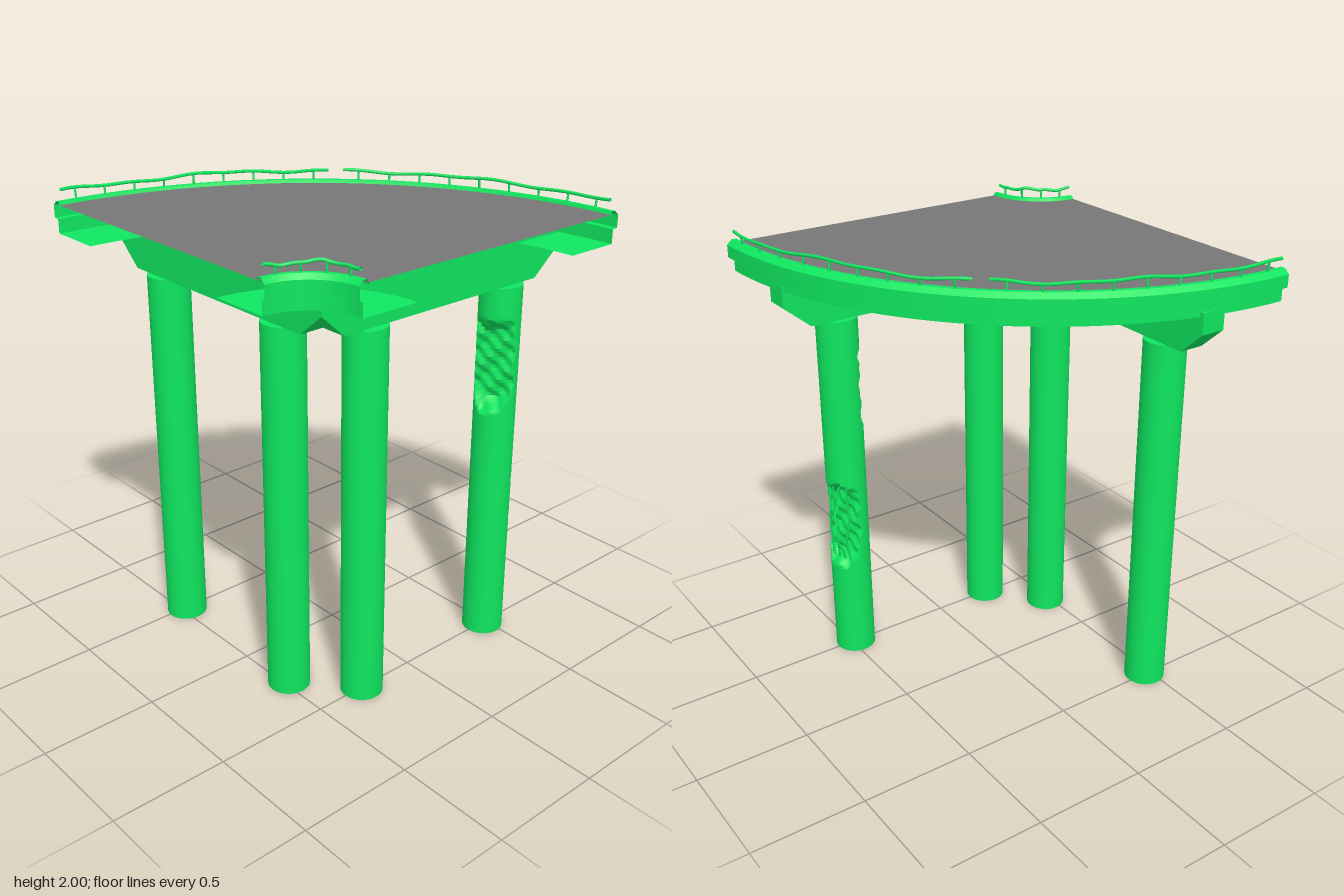
import * as THREE from 'three';
import { mergeGeometries, toCreasedNormals } from 'three/addons/utils/BufferGeometryUtils.js';

const C = 0.805; // centre of the bend, in x and z
const COLUMN_R = 0.09;
const CAP_BOTTOM = 1.64;

export function createModel() {
  const model = new THREE.Group();
  const green = new THREE.MeshStandardMaterial({ color: 0x0fe65f, side: THREE.DoubleSide });
  const grey = new THREE.MeshStandardMaterial({ color: 0x777777, side: THREE.DoubleSide });

  const add = (name, geometry, material = green) => {
    const mesh = new THREE.Mesh(geometry, material);
    mesh.name = name;
    model.add(mesh);
    return mesh;
  };

  // Point on the bend: a = 0 at the front end, PI / 2 at the right end
  const polar = (r, a, y) => new THREE.Vector3(C - r * Math.cos(a), y, C - r * Math.sin(a));

  // Sweep a (radius, height) profile through the quarter bend
  const sweep = (profile, segments) => {
    const pts = profile.map(([r, y]) => new THREE.Vector2(r, y));
    const g = new THREE.LatheGeometry(pts, segments, Math.PI, Math.PI / 2);
    g.translate(C, 0, C);
    return toCreasedNormals(g, 0.4);
  };

  // Road deck and the two open edge girders with kerbs
  add('roadSurface', sweep([[0.255, 1.932], [1.575, 1.932]], 40), grey);
  add('outerGirder', sweep([
    [1.34, 1.81], [1.585, 1.81], [1.585, 1.87], [1.61, 1.872], [1.61, 1.925],
    [1.588, 1.945], [1.567, 1.945], [1.56, 1.925],
  ], 40));
  add('innerGirder', sweep([
    [0.5, 1.81], [0.24, 1.81], [0.24, 1.87], [0.225, 1.872], [0.225, 1.925],
    [0.24, 1.945], [0.258, 1.945], [0.267, 1.925],
  ], 20));

  // Bent railings: a wavering tube on thin posts
  const railing = (name, r, a0, a1, posts, wave, seed) => {
    const railPoint = (a) => polar(
      r + 0.007 * Math.sin(a * wave * 0.8 + seed),
      a,
      1.982 + 0.005 * Math.sin(a * wave + seed) + 0.003 * Math.sin(a * wave * 2.3),
    );
    const pts = [];
    const n = posts * 3;
    for (let i = 0; i <= n; i++) pts.push(railPoint(a0 + (a1 - a0) * i / n));
    const parts = [new THREE.TubeGeometry(new THREE.CatmullRomCurve3(pts), n * 2, 0.007, 6)];
    for (let i = 0; i < posts; i++) {
      const a = a0 + (a1 - a0) * (i + 0.5) / posts;
      const top = railPoint(a);
      const foot = polar(r, a, 1.938);
      parts.push(new THREE.TubeGeometry(new THREE.LineCurve3(foot, top), 1, 0.005, 6));
    }
    add(name, mergeGeometries(parts));
  };
  railing('outerRailFront', 1.582, 0.015, 0.757, 9, 16, 1);
  railing('outerRailBack', 1.582, 0.797, 1.555, 9, 14, 4);
  railing('innerRail', 0.246, 0.06, 1.51, 4, 7, 2);

  // Cap beams with chamfered ends, extruded across their width
  const beamShape = (from, to) => new THREE.Shape([
    [from, 1.83], [from, 1.74], [from + 0.11, CAP_BOTTOM],
    [to - 0.12, CAP_BOTTOM], [to, 1.74], [to, 1.83],
  ].map(([u, y]) => new THREE.Vector2(u, y)));
  const beam = (from, to) =>
    new THREE.ExtrudeGeometry(beamShape(from, to), { depth: 0.11, bevelEnabled: false });
  add('frontCapBeam', beam(-0.75, 0.55).translate(0, 0, 0.42));
  add('sideCapBeam', beam(-0.53, 0.745).rotateY(Math.PI / 2).translate(0.44, 0, 0));

  // Sound columns
  for (const [x, z] of [[-0.49, 0.475], [0.265, 0.475], [0.5, 0.27]]) {
    const g = new THREE.CylinderGeometry(COLUMN_R, COLUMN_R, CAP_BOTTOM, 32);
    add('column', g.translate(x, CAP_BOTTOM / 2, z));
  }

  // Damaged column: two ragged hollows broken out of its side
  const hollows = [
    { angle: 1.2, y: 1.3, half: 0.21, depth: 0.06 },
    { angle: -1.98, y: 0.67, half: 0.21, depth: 0.062 },
  ];
  const shaft = new THREE.CylinderGeometry(COLUMN_R, COLUMN_R, CAP_BOTTOM, 48, 120);
  shaft.translate(0, CAP_BOTTOM / 2, 0);
  const pos = shaft.attributes.position;
  for (let i = 0; i < pos.count; i++) {
    const x = pos.getX(i), y = pos.getY(i), z = pos.getZ(i);
    for (const h of hollows) {
      const dx = Math.cos(h.angle), dz = Math.sin(h.angle);
      const side = -x * dz + z * dx;
      const t = Math.abs(y - h.y + 0.25 * side * Math.sin(side * 60)) / h.half;
      if (t >= 1) continue;
      const rough = 0.008 * Math.sin(y * 43 + side * 50) + 0.005 * Math.sin(y * 97 - side * 70);
      const limit = COLUMN_R - h.depth * Math.min(1, (1 - t) * 3.5) + rough;
      const over = x * dx + z * dz - limit;
      if (over > 0) pos.setXYZ(i, x - dx * over, y, z - dz * over);
    }
  }
  add('damagedColumn', toCreasedNormals(shaft, 0.6).translate(0.5, 0, -0.48));

  // Bent reinforcing bars left standing in the lower hollow
  const { angle } = hollows[1];
  const out = new THREE.Vector3(Math.cos(angle), 0, Math.sin(angle));
  const across = new THREE.Vector3(-out.z, 0, out.x);
  const bar = (side, stations) => {
    const pts = stations.map(([y, reach, sway]) => new THREE.Vector3(0.5, y, -0.48)
      .addScaledVector(out, reach).addScaledVector(across, side + sway));
    add('reinforcingBar', new THREE.TubeGeometry(new THREE.CatmullRomCurve3(pts), 20, 0.005, 6));
  };
  bar(-0.045, [[0.48, 0.05, 0], [0.58, 0.065, 0.01], [0.7, 0.062, -0.008], [0.86, 0.065, 0]]);
  bar(-0.015, [[0.47, 0.05, 0], [0.54, 0.072, 0], [0.6, 0.1, 0.012]]);
  bar(-0.012, [[0.87, 0.06, 0], [0.81, 0.075, 0.01], [0.76, 0.09, 0], [0.74, 0.125, -0.01]]);
  bar(0.02, [[0.48, 0.05, 0], [0.6, 0.075, -0.012], [0.72, 0.06, 0.008], [0.87, 0.07, 0]]);
  bar(0.05, [[0.49, 0.05, 0], [0.62, 0.055, 0.008], [0.75, 0.07, -0.008], [0.85, 0.055, 0]]);

  return model;
}
